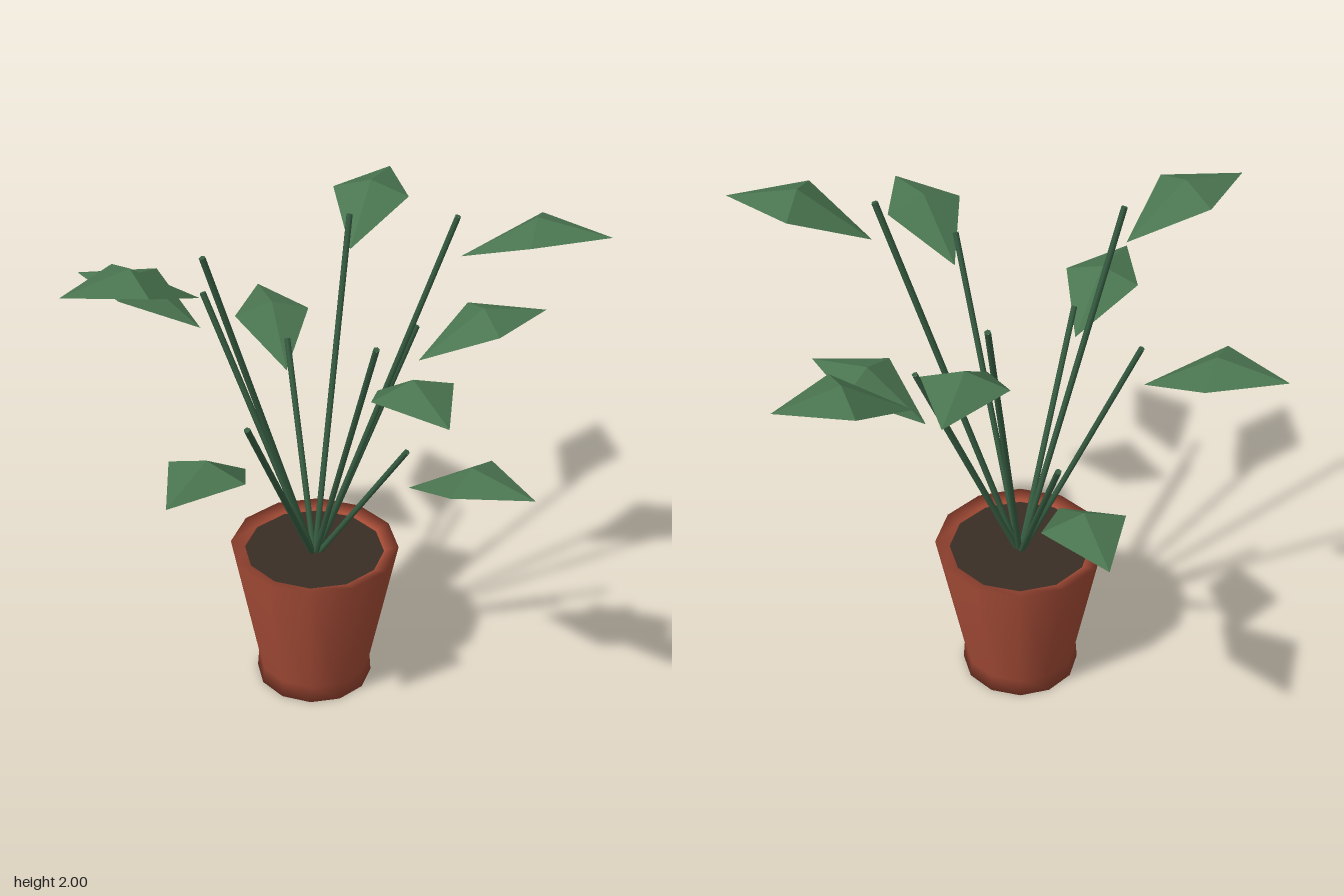
import * as THREE from 'three';

const terracotta = new THREE.MeshStandardMaterial({ name: 'terracotta', color: 0xa44b36 });
const soilBrown = new THREE.MeshStandardMaterial({ name: 'soil brown', color: 0x3a2e24 });
const stemGreen = new THREE.MeshStandardMaterial({ name: 'stem green', color: 0x365c41 });
const leafGreen = new THREE.MeshStandardMaterial({
  name: 'leaf green', color: 0x4a7550, flatShading: true, side: THREE.DoubleSide,
});

// Each stalk: [angle in degrees, leaf base radius, leaf base height]
const STALKS = [
  [0, 0.398, 0.975],
  [20.2, 0.5, 1.83],
  [52.5, 0.395, 1.295],
  [105, 0.4, 1.617],
  [137.4, 0.446, 1.083],
  [190, 0.45, 1.4],
  [242.8, 0.442, 1.724],
  [275.2, 0.496, 1.19],
  [327.7, 0.5, 1.508],
];
const ROOT_Y = 0.52;

function add(parent, name, geometry, material) {
  const mesh = new THREE.Mesh(geometry, material);
  mesh.name = name;
  parent.add(mesh);
  return mesh;
}

// Kite-shaped leaf pointing along +x, folded up to a central peak
function leafGeometry() {
  const base = [0, 0, 0], tip = [0.497, 0.123, 0], peak = [0.248, 0.17, 0];
  const near = [0.248, 0.123, 0.146], far = [0.248, 0.123, -0.146];
  const rim = [base, near, tip, far];
  const points = rim.flatMap((p, i) => [...p, ...rim[(i + 1) % 4], ...peak]);
  const geometry = new THREE.BufferGeometry();
  geometry.setAttribute('position', new THREE.Float32BufferAttribute(points, 3));
  geometry.computeVertexNormals();
  return geometry;
}

// Thin straight rod between two points
function rodGeometry(from, to, radius) {
  return new THREE.TubeGeometry(new THREE.LineCurve3(from, to), 1, radius, 6, false);
}

export function createModel() {
  const plant = new THREE.Group();
  plant.name = 'pottedPlant';
  plant.position.set(-0.005, 0, -0.07);

  // Twelve-sided pot with a narrow foot and an inward-sloping rim
  const profile = [
    [0, 0], [0.22, 0], [0.215, 0.07], [0.315, 0.58], [0.263, 0.565], [0.258, 0.54],
  ].map(([r, y]) => new THREE.Vector2(r, y));
  add(plant, 'pot', new THREE.LatheGeometry(profile, 12), terracotta);

  // Soil surface
  const soil = add(plant, 'soil', new THREE.CircleGeometry(0.262, 12), soilBrown);
  soil.rotation.x = -Math.PI / 2;
  soil.position.y = 0.558;

  // Stalks fan out from the middle; each leaf hangs just below its stem top
  const leaf = leafGeometry();
  for (const [degrees, radius, height] of STALKS) {
    const stalk = new THREE.Group();
    stalk.name = 'stalk';
    stalk.rotation.y = THREE.MathUtils.degToRad(degrees);
    const root = new THREE.Vector3(0, ROOT_Y, 0);
    const top = new THREE.Vector3(radius * 0.97, height + 0.145, 0);
    add(stalk, 'stem', rodGeometry(root, top, 0.0115), stemGreen);
    // Small cap closing the stem top
    const cap = add(stalk, 'stemCap', new THREE.CircleGeometry(0.0115, 6), stemGreen);
    cap.position.copy(top);
    cap.quaternion.setFromUnitVectors(
      new THREE.Vector3(0, 0, 1), top.clone().sub(root).normalize());
    add(stalk, 'leaf', leaf, leafGreen).position.set(radius, height, 0);
    plant.add(stalk);
  }

  const model = new THREE.Group();
  model.name = 'model';
  model.add(plant);
  return model;
}
